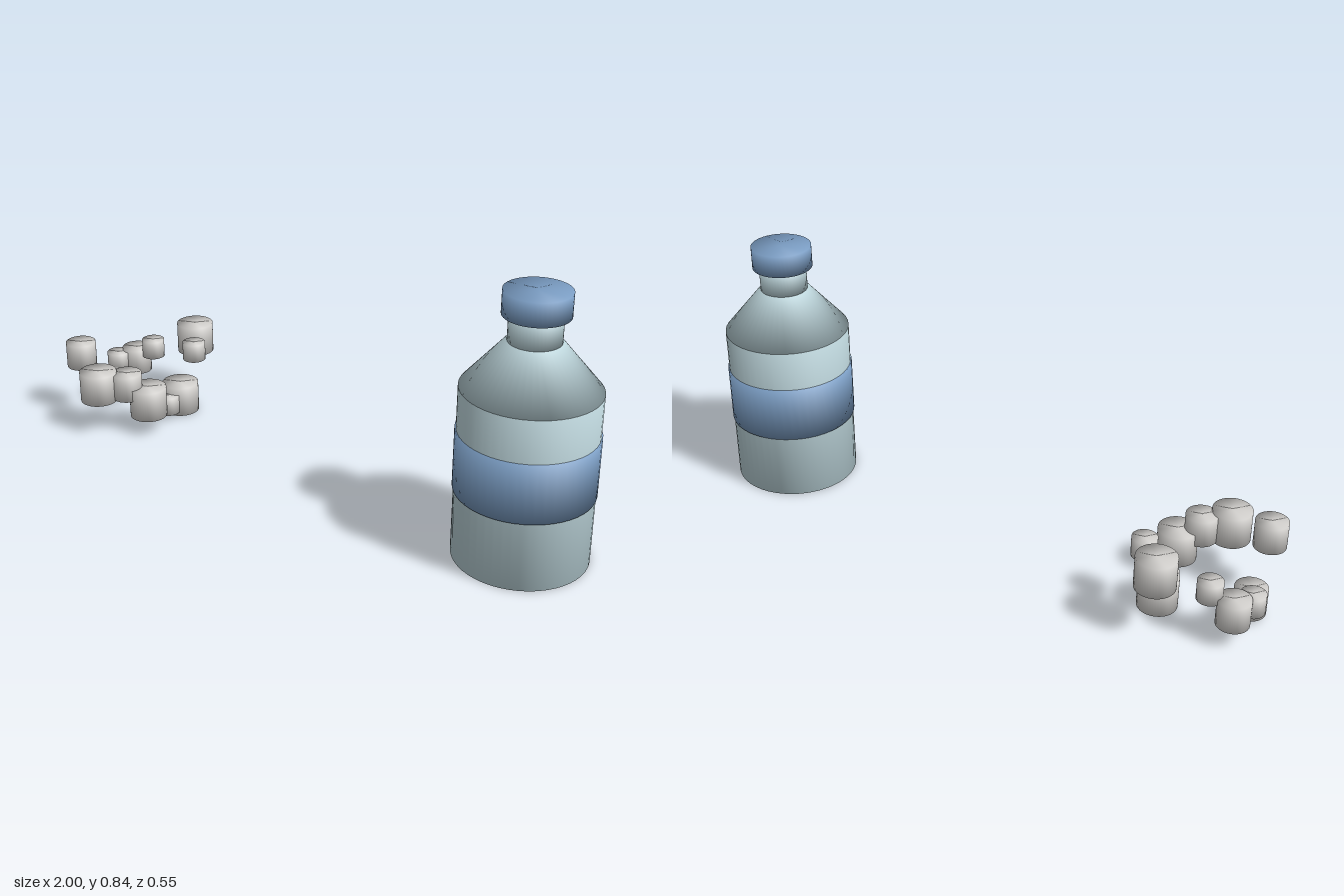
import * as THREE from 'three';

const material = (name, color) => {
  const m = new THREE.MeshStandardMaterial({ color });
  m.name = name;
  return m;
};

// Closed, smoothly shaded solid of revolution standing at height y.
function drum(name, mat, rBottom, rTop, y, h) {
  const profile = [[0, 0], [rBottom, 0], [rTop, h], [0, h]].map(([r, v]) => new THREE.Vector2(r, v));
  const mesh = new THREE.Mesh(new THREE.LatheGeometry(profile, 48), mat);
  mesh.name = name;
  mesh.position.y = y;
  return mesh;
}

export function createModel() {
  const plastic = material('pale blue plastic', 0xbcd4da);
  const blue = material('mid blue', 0x7a9cc2);
  const white = material('off white', 0xd2d0cd);
  const model = new THREE.Group();
  model.name = 'bottleAndTablets';

  // Bottle with shoulder, neck, label band and cap
  const bottle = new THREE.Group();
  bottle.name = 'bottle';
  bottle.position.set(0.787, 0, -0.003);
  bottle.add(
    drum('body', plastic, 0.207, 0.207, 0, 0.545),
    drum('shoulder', plastic, 0.207, 0.083, 0.545, 0.145),
    drum('neck', plastic, 0.078, 0.078, 0.69, 0.08),
    drum('labelBand', blue, 0.211, 0.211, 0.222, 0.188),
    drum('cap', blue, 0.099, 0.099, 0.769, 0.073),
  );
  model.add(bottle);

  // Scattered tablets in three sizes: x, centre height, z, size
  const sizes = [[0.04, 0.064], [0.052, 0.09], [0.064, 0.106]];
  const tablets = new THREE.Group();
  tablets.name = 'tablets';
  [
    [-0.71, 0.228, -0.215, 2], [-0.665, 0.054, -0.08, 2],
    [-0.64, 0.112, 0.107, 2], [-0.775, 0.17, 0.21, 2],
    [-0.927, 0.112, -0.127, 1], [-0.925, 0.058, 0.02, 1],
    [-0.925, 0.226, 0.145, 1], [-0.70, 0.17, 0.147, 1],
    [-0.853, 0.17, -0.14, 0], [-0.961, 0.117, -0.065, 0],
    [-0.626, 0.229, -0.117, 0], [-0.66, 0.05, -0.01, 0],
  ].forEach(([x, y, z, s]) => {
    const [r, h] = sizes[s];
    const tablet = drum('tablet', white, r, r, y - h / 2, h);
    tablet.position.x = x;
    tablet.position.z = z;
    tablets.add(tablet);
  });
  model.add(tablets);
  return model;
}
